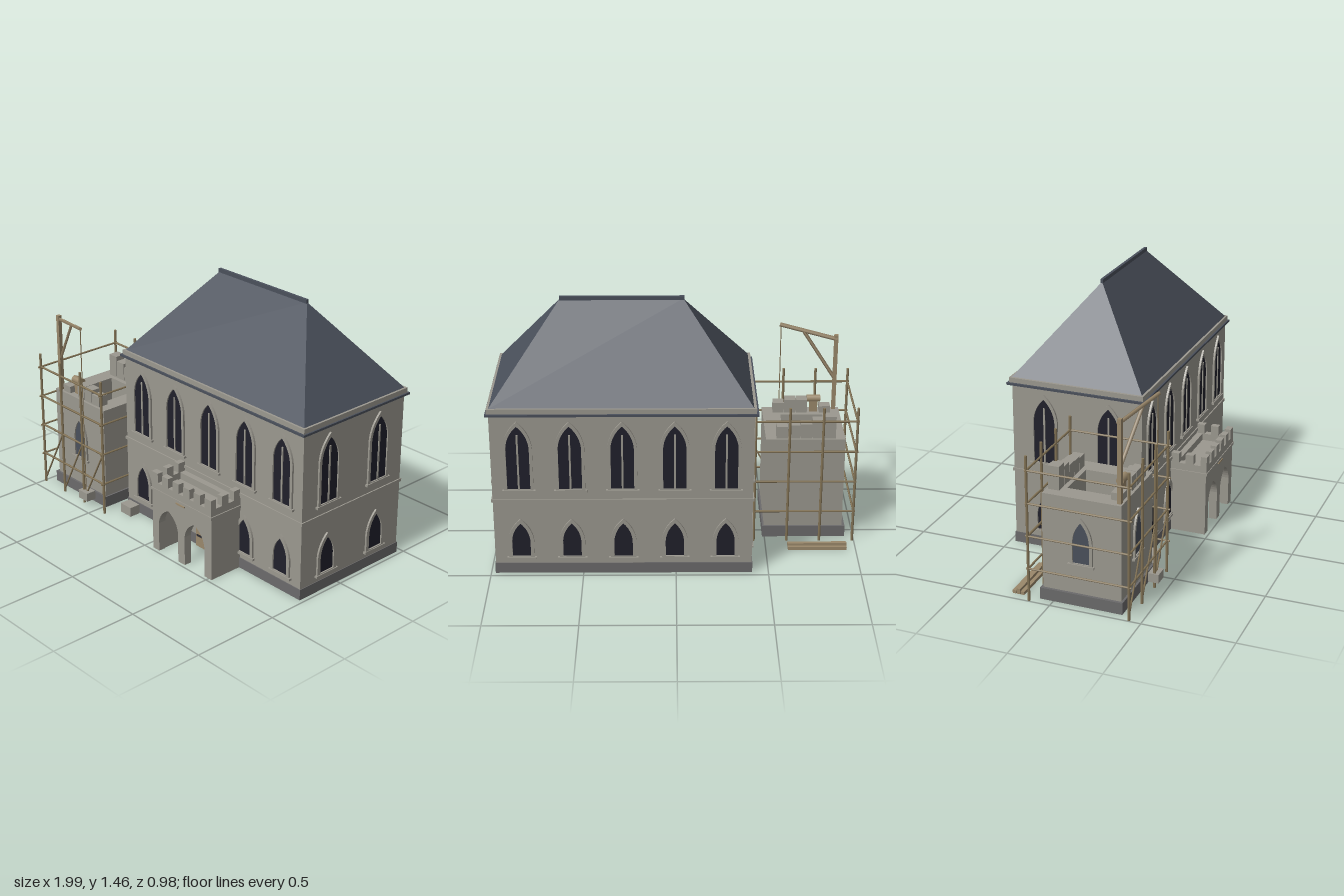
import * as THREE from 'three';

const mat = (name, color) => {
  const m = new THREE.MeshStandardMaterial({ color, side: THREE.DoubleSide });
  m.name = name;
  return m;
};

export function createModel() {
  const stone = mat('stone', 0x9b988f), darkStone = mat('dark stone', 0x6b6a6b);
  const slate = mat('slate', 0x4a505b), glass = mat('window glass', 0x20202b);
  const timber = mat('timber', 0x9a886b), pole = mat('scaffold wood', 0x857557);
  const iron = mat('iron', 0x2b2b30);
  const model = new THREE.Group();

  const add = (name, geo, m, parent = model) => {
    const mesh = new THREE.Mesh(geo, m);
    mesh.name = name;
    parent.add(mesh);
    return mesh;
  };
  const group = (name, parent = model) => {
    const g = new THREE.Group();
    g.name = name;
    parent.add(g);
    return g;
  };
  // Box given by its limits on each axis
  const box = (name, x0, x1, y0, y1, z0, z1, m, parent) => {
    const b = add(name, new THREE.BoxGeometry(x1 - x0, y1 - y0, z1 - z0), m, parent);
    b.position.set((x0 + x1) / 2, (y0 + y1) / 2, (z0 + z1) / 2);
    return b;
  };
  // Straight member between two points, round or square
  const beam = (name, a, b, r, m, parent, sides = 6) => {
    const p = new THREE.Vector3(...a), q = new THREE.Vector3(...b);
    const s = add(name, new THREE.CylinderGeometry(r, r, p.distanceTo(q), sides), m, parent);
    s.position.copy(p).add(q).multiplyScalar(0.5);
    s.quaternion.setFromUnitVectors(new THREE.Vector3(0, 1, 0), q.sub(p).normalize());
    return s;
  };
  // Hollow rectangular wall ring
  const ring = (name, x0, x1, y0, y1, z0, z1, t, m, parent) => {
    const rect = (S, i) => new S([[x0 + i, -z1 + i], [x1 - i, -z1 + i], [x1 - i, -z0 - i], [x0 + i, -z0 - i]]
      .map(p => new THREE.Vector2(...p)));
    const s = rect(THREE.Shape, 0);
    s.holes.push(rect(THREE.Path, t));
    const g = new THREE.ExtrudeGeometry(s, { depth: y1 - y0, bevelEnabled: false });
    add(name, g.rotateX(-Math.PI / 2).translate(0, y0, 0), m, parent);
  };
  // Pointed arch outline
  const arch = (S, cx, w, y0, spring, top) => {
    const s = new S(), h = w / 2, k = spring + (top - spring) * 0.6;
    s.moveTo(cx - h, y0);
    s.lineTo(cx + h, y0);
    s.lineTo(cx + h, spring);
    s.quadraticCurveTo(cx + h * 0.9, k, cx, top);
    s.quadraticCurveTo(cx - h * 0.9, k, cx - h, spring);
    s.lineTo(cx - h, y0);
    return s;
  };
  const extrude = (s, depth) => new THREE.ExtrudeGeometry(s, { depth, bevelEnabled: false, curveSegments: 8 });

  // Window on a wall: position, heading, outline sizes
  const window_ = (x, z, turn, { w, fw, y0, spring, top, mullion }, pane = glass, parent = model) => {
    const g = group('window', parent);
    g.position.set(x, 0, z);
    g.rotation.y = turn;
    const frame = arch(THREE.Shape, 0, fw, y0, spring, top + 0.025);
    frame.holes.push(arch(THREE.Path, 0, w, y0 + 0.005, spring, top));
    add('windowFrame', extrude(frame, 0.011), stone, g);
    add('windowPane', new THREE.ShapeGeometry(arch(THREE.Shape, 0, w, y0, spring, top), 8), pane, g).position.z = 0.003;
    box('windowSill', -fw / 2 - 0.01, fw / 2 + 0.01, y0 - 0.012, y0, 0, 0.016, stone, g);
    if (mullion) box('mullion', -0.005, 0.005, y0, top - 0.05, 0, 0.008, stone, g);
  };
  const upper = { w: 0.122, fw: 0.155, y0: 0.505, spring: 0.75, top: 0.875, mullion: true };
  const lower = { w: 0.098, fw: 0.138, y0: 0.1, spring: 0.2, top: 0.305 };

  // Main hall
  const hall = group('hall');
  const X0 = -0.408, X1 = 0.973, Z0 = -0.465, Z1 = 0.275;
  ring('hallWalls', X0, X1, 0.055, 0.94, Z0, Z1, 0.04, stone, hall);
  ring('hallPlinth', X0 - 0.004, X1 + 0.004, 0, 0.06, Z0 - 0.005, Z1 + 0.005, 0.05, darkStone, hall);
  ring('stringCourse', X0 - 0.007, X1 + 0.007, 0.432, 0.448, Z0 - 0.007, Z1 + 0.007, 0.02, stone, hall);
  box('eaves', -0.43, 0.99, 0.936, 0.948, -0.49, 0.295, slate, hall);
  box('cornice', -0.418, 0.982, 0.948, 0.975, -0.48, 0.285, stone, hall);
  for (const x of [-0.265, 0.007, 0.282, 0.557, 0.83]) {
    window_(x, Z1, 0, upper, glass, hall);
    window_(x, Z0, Math.PI, upper, glass, hall);
    window_(x, Z0, Math.PI, lower, glass, hall);
    if (x !== 0.282) window_(x, Z1, 0, lower, glass, hall);
  }
  for (const z of [0.09, -0.28]) for (const w of [upper, lower]) {
    window_(X1, z, Math.PI / 2, w, glass, hall);
    window_(X0, z, -Math.PI / 2, w, glass, hall);
  }

  // Hipped roof with ridge cap
  const a = [-0.406, 0.972, 0.275], b = [0.972, 0.972, 0.275], c = [0.972, 0.972, -0.47], d = [-0.406, 0.972, -0.47];
  const r1 = [-0.04, 1.44, -0.097], r2 = [0.61, 1.44, -0.097];
  const roof = new THREE.BufferGeometry();
  roof.setAttribute('position', new THREE.Float32BufferAttribute(
    [a, b, r2, a, r2, r1, b, c, r2, c, d, r1, c, r1, r2, d, a, r1].flat(), 3));
  roof.computeVertexNormals();
  add('roof', roof, slate, hall);
  box('ridgeCap', -0.045, 0.612, 1.434, 1.455, -0.105, -0.089, slate, hall);

  // Porch with twin arches
  const porch = group('porch');
  const P0 = 0.05, P1 = 0.522, PZ = 0.48;
  const front = new THREE.Shape();
  front.moveTo(P0, 0);
  for (const [l, r] of [[0.1, 0.257], [0.31, 0.467]]) {
    const m = (l + r) / 2, q = (r - l) * 0.05;
    front.lineTo(l, 0);
    front.lineTo(l, 0.17);
    front.quadraticCurveTo(l + q, 0.24, m, 0.275);
    front.quadraticCurveTo(r - q, 0.24, r, 0.17);
    front.lineTo(r, 0);
  }
  front.lineTo(P1, 0);
  front.lineTo(P1, 0.365);
  front.lineTo(P0, 0.365);
  add('porchFront', extrude(front, 0.045), stone, porch).position.z = PZ - 0.045;
  box('porchSide', P0, P0 + 0.045, 0, 0.365, Z1, PZ - 0.045, stone, porch);
  box('porchSide', P1 - 0.045, P1, 0, 0.365, Z1, PZ - 0.045, stone, porch);
  box('porchRoof', P0 - 0.006, P1 + 0.006, 0.36, 0.375, Z1, PZ + 0.007, stone, porch);
  ring('parapet', P0, P1, 0.375, 0.415, Z1, PZ + 0.003, 0.035, stone, porch);
  const step = (P1 - P0 - 0.05) / 5;
  for (let i = 0; i < 6; i++) {
    const x = P0 + i * step;
    box('merlon', x, x + 0.05, 0.415, 0.47, PZ - 0.032, PZ + 0.003, stone, porch);
  }
  for (const x of [P0, P1 - 0.035]) for (const z of [0.277, 0.36])
    box('merlon', x, x + 0.035, 0.415, 0.47, z, z + 0.045, stone, porch);
  box('porchPlaque', 0.25, 0.317, 0.35, 0.358, PZ, PZ + 0.01, timber, porch);

  // Double door with iron straps
  const door = group('door');
  add('doorLeaves', extrude(arch(THREE.Shape, 0.285, 0.19, 0, 0.18, 0.31), 0.01), timber, door).position.z = Z1 + 0.006;
  for (const y of [0.07, 0.15, 0.225]) for (const x of [0.2, 0.305])
    box('doorStrap', x, x + 0.065, y - 0.005, y + 0.005, 0.29, 0.296, iron, door);
  box('doorSeam', 0.283, 0.287, 0, 0.3, 0.29, 0.294, iron, door);

  // Unfinished tower
  const tower = group('tower');
  ring('towerPlinth', -0.952, -0.487, 0, 0.065, -0.075, 0.382, 0.115, darkStone, tower);
  ring('towerWalls', -0.936, -0.497, 0.065, 0.6, -0.062, 0.37, 0.1, stone, tower);
  const slit = { w: 0.092, fw: 0.125, y0: 0.235, spring: 0.36, top: 0.47 };
  window_(-0.715, 0.37, 0, slit, slate, tower);
  window_(-0.936, 0.153, -Math.PI / 2, slit, slate, tower);
  const courses = [[-0.05, [0.73, 0.705, 0.685, 0.68, 0.67]], [0.293, [0.64, 0, 0.68, 0.68, 0.66]]];
  for (const [z, tops] of courses) tops.forEach((top, i) => {
    const x = -0.882 + i * 0.066;
    if (top) box('looseCourse', x, x + 0.062, 0.6, top, z, z + 0.062, stone, tower);
  });
  box('winchStand', -0.81, -0.765, 0.6, 0.66, 0.307, 0.33, timber, tower);
  beam('winchDrum', [-0.825, 0.68, 0.318], [-0.75, 0.68, 0.318], 0.022, timber, tower, 8);

  // Scaffolding
  const scaffold = group('scaffolding');
  const xs = [-0.99, -0.805, -0.622, -0.437], levels = [0.185, 0.37, 0.553, 0.735];
  for (const z of [-0.12, 0.432]) {
    for (const x of xs) beam('scaffoldPole', [x, 0, z], [x, 0.815, z], 0.008, pole, scaffold);
    for (const y of levels) beam('scaffoldRail', [-1, y, z], [-0.427, y, z], 0.006, pole, scaffold);
  }
  for (const x of [xs[0], xs[3]]) for (const y of levels)
    beam('scaffoldRail', [x, y, -0.13], [x, y, 0.448], 0.006, pole, scaffold);
  for (let i = 0; i < 3; i++)
    beam('scaffoldBrace', [xs[i], 0.02, 0.432], [xs[i + 1], 0.37, 0.432], 0.005, pole, scaffold);

  // Hoist with hanging block
  const hoist = group('hoist');
  box('hoistPost', -0.917, -0.895, 0.6, 1.055, 0.34, 0.362, timber, hoist);
  beam('hoistJib', [-0.915, 1.03, 0.345], [-0.594, 1.085, 0.437], 0.012, timber, hoist, 4);
  beam('hoistBrace', [-0.905, 0.79, 0.35], [-0.725, 1.06, 0.4], 0.01, timber, hoist, 4);
  beam('hoistRope', [-0.6, 0.08, 0.434], [-0.6, 1.08, 0.434], 0.003, pole, hoist);
  box('hangingBlock', -0.637, -0.56, 0.035, 0.085, 0.4, 0.46, stone, hoist);

  // Building materials on the ground
  box('groundBlock', -0.39, -0.303, 0, 0.055, 0.285, 0.35, stone);
  const planks = group('plankPile');
  for (let i = 0; i < 3; i++) {
    const z = -0.232 + i * 0.023;
    box('plank', -0.95, -0.623, 0, i === 1 ? 0.03 : 0.018, z, z + 0.02, timber, planks);
  }
  return model;
}
